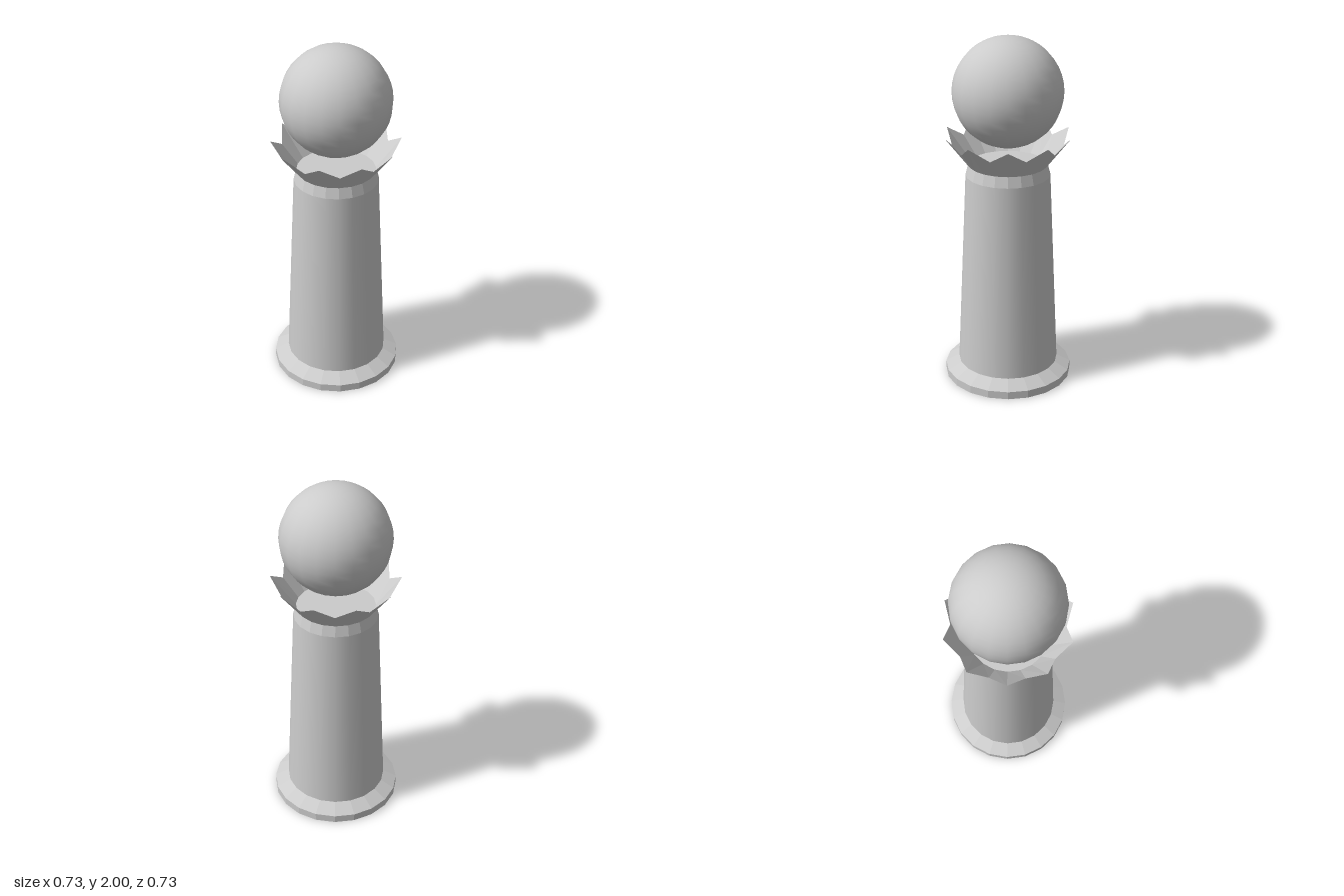
import * as THREE from 'three';

const SIDES = 20;
const flat = new THREE.MeshStandardMaterial({ color: 0xcccccc, flatShading: true });
const smooth = new THREE.MeshStandardMaterial({ color: 0xcccccc });
const leaf = new THREE.MeshStandardMaterial({ color: 0xcccccc, flatShading: true, side: THREE.DoubleSide });

export function createModel() {
  const group = new THREE.Group();
  const add = (name, geometry, material) => {
    const mesh = new THREE.Mesh(geometry, material);
    mesh.name = name;
    group.add(mesh);
  };
  // Tapered ring between two heights, open at both ends
  const ring = (rBottom, rTop, y0, y1) =>
    new THREE.CylinderGeometry(rTop, rBottom, y1 - y0, SIDES, 1, true).translate(0, (y0 + y1) / 2, 0);

  // Foot with a chamfered upper edge and a closed underside
  const foot = [[0, 0], [0.366, 0], [0.366, 0.045], [0.288, 0.087]].map(p => new THREE.Vector2(...p));
  add('foot', new THREE.LatheGeometry(foot, SIDES), flat);

  // Tapering shaft and its narrow neck
  add('shaft', ring(0.288, 0.236, 0.087, 1.225), smooth);
  add('neck', ring(0.236, 0.22, 1.225, 1.285), flat);
  add('neckTop', new THREE.CircleGeometry(0.22, SIDES).rotateX(-Math.PI / 2).translate(0, 1.285, 0), flat);

  // Flared crown: every other rim corner is pulled down to make ten points
  const crown = ring(0.22, 0.357, 1.285, 1.463);
  const pos = crown.attributes.position;
  for (let i = 0; i <= SIDES; i += 2) {
    const k = 0.308 / 0.357;
    pos.setXYZ(i, pos.getX(i) * k, 1.395, pos.getZ(i) * k);
  }
  add('crown', crown, leaf);

  // Ball
  add('ball', new THREE.SphereGeometry(0.305, SIDES, 20).translate(0, 1.695, 0), smooth);
  return group;
}
